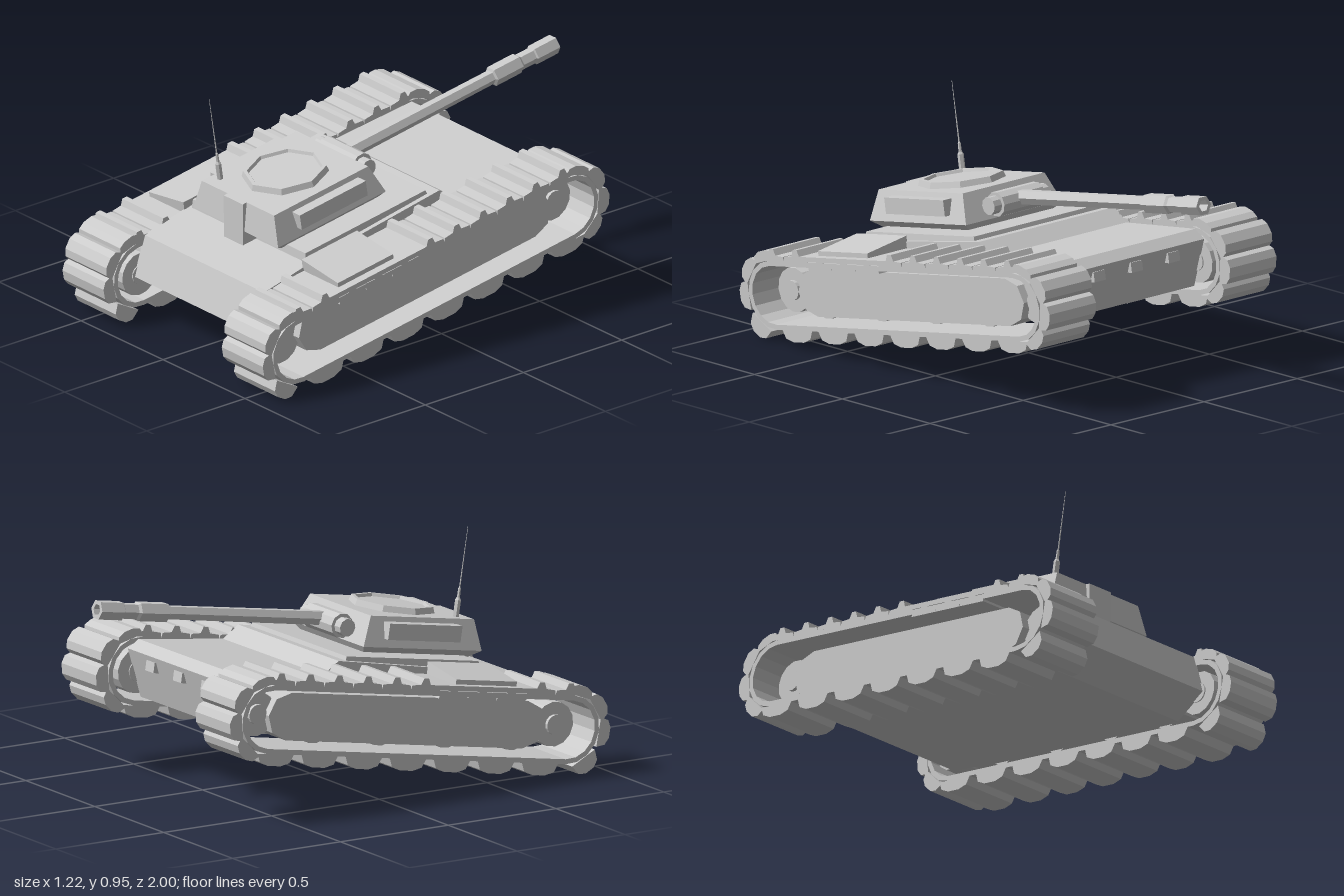
import * as THREE from 'three';

const mat = new THREE.MeshStandardMaterial({ color: 0xcccccc, flatShading: true, side: THREE.DoubleSide });

function add(parent, name, geo, x = 0, y = 0, z = 0) {
  const m = new THREE.Mesh(geo, mat);
  m.name = name;
  m.position.set(x, y, z);
  parent.add(m);
  return m;
}

// Side profile of [z, y] points extruded from x0 to x1, with an optional hole
function extrudeX(pts, x0, x1, hole) {
  const toV = ps => ps.map(([z, y]) => new THREE.Vector2(-z, y));
  const shape = new THREE.Shape(toV(pts));
  if (hole) shape.holes.push(new THREE.Path(toV(hole)));
  const g = new THREE.ExtrudeGeometry(shape, { depth: x1 - x0, bevelEnabled: false });
  return g.rotateY(Math.PI / 2).translate(x0, 0, 0);
}

// Tapered block between two rectangles given as [x, z0, z1, y], x being the half width
function block(b, t) {
  const g = new THREE.BoxGeometry(2, 1, 1);
  const p = g.attributes.position;
  for (let i = 0; i < p.count; i++) {
    const r = p.getY(i) > 0 ? t : b;
    p.setXYZ(i, p.getX(i) * r[0], r[3], p.getZ(i) > 0 ? r[2] : r[1]);
  }
  g.computeVertexNormals();
  return g;
}

// Turned part from [radius, height] points
function lathe(pts, sides, start = 0) {
  return new THREE.LatheGeometry(pts.map(q => new THREE.Vector2(...q)), sides, start);
}

const CY = 0.332, ZR = 0.768, ZF = -0.632; // axle height, rear and front axle

// Rounded loop around two axles
function loop(r, zr = ZR, zf = ZF, n = 8) {
  const pts = [];
  for (const [z, start] of [[zr, 0], [zf, Math.PI]])
    for (let i = 0; i <= n; i++) {
      const a = start + Math.PI * i / n;
      pts.push([z + r * Math.sin(a), CY + r * Math.cos(a)]);
    }
  return pts;
}

function wheel(parent, name, r, x, w, y, z) {
  add(parent, name, new THREE.CylinderGeometry(r, r, w, 14).rotateZ(Math.PI / 2), x, y, z);
}

function makeTrack(s) {
  const track = new THREE.Group();
  track.name = s > 0 ? 'leftTrack' : 'rightTrack';
  const R = 0.137;
  const span = (a, b) => s > 0 ? [a, b] : [-b, -a];
  const [a, b] = span(0.36, 0.61);
  add(track, 'trackBand', extrudeX(loop(R), a, b, loop(0.117)));

  // Scalloped pads on the lower run and around both ends
  const pad = extrudeX([[-0.085, 0], [0.085, 0], [0.07, 0.033], [0.03, 0.047], [-0.03, 0.047], [-0.07, 0.033]], a, b);
  const place = (z0, phi, len, high) => {
    const m = add(track, 'trackPad', pad, 0, CY + R * Math.cos(phi), z0 + R * Math.sin(phi));
    m.rotation.x = phi;
    m.scale.set(1, high, len);
  };
  for (let i = 0; i < 7; i++) place(ZF + 0.04 + i * 0.207, Math.PI, 1, 1);
  for (const [phi, high] of [[0.2, 0.9], [0.9, 1.1], [1.6, 1.1], [2.5, 1.3]]) place(ZR, phi, 0.7, high);
  for (const [phi, high] of [[0.4, 0.8], [1.1, 1.2], [1.8, 1.2], [2.5, 1.1]]) place(ZF, -phi, 0.7, high);

  // Upper run: plates with narrow raised cleats, sunk where the fender covers them
  const cleat = extrudeX([[-0.068, 0], [0.068, 0], [0.064, 0.018], [0.022, 0.022],
    [0.01, 0.048], [-0.012, 0.048], [-0.022, 0.022], [-0.064, 0.018]], a, b);
  for (let i = 0; i < 11; i++) {
    const z = ZF + 0.02 + i * 0.136;
    add(track, 'trackCleat', cleat, 0, CY + R - (z > 0.08 && z < 0.6 ? 0.03 : 0), z);
  }

  // Side panel, with wheels mostly hidden behind it
  add(track, 'sidePanel', extrudeX(loop(0.095, 0.61, -0.5, 4), ...span(0.36, 0.53)));
  for (let i = 0; i < 4; i++) wheel(track, 'roadWheel', 0.08, s * 0.45, 0.12, 0.305, -0.36 + i * 0.31);
  for (const z of [ZR, ZF]) {
    wheel(track, 'endWheel', 0.09, s * 0.43, 0.13, CY, z);
    wheel(track, 'wheelHub', 0.04, s * 0.435, 0.15, CY, z);
  }

  // Fender plate and stowage box sloping down to the outside
  add(track, 'fender', new THREE.BoxGeometry(0.25, 0.02, 0.52), s * 0.485, 0.481, 0.335);
  const box = extrudeX([[0.23, 0.47], [0.515, 0.47], [0.515, 0.54], [0.23, 0.54]], ...span(0.36, 0.575));
  const p = box.attributes.position;
  for (let i = 0; i < p.count; i++) if (p.getY(i) > 0.5 && Math.abs(p.getX(i)) > 0.5) p.setY(i, 0.51);
  add(track, 'stowageBox', box);
  return track;
}

function makeHull() {
  const hull = new THREE.Group();
  hull.name = 'hull';
  add(hull, 'hullBody', extrudeX([[0.67, 0.23], [0.797, 0.333], [0.721, 0.487], [0.48, 0.51],
    [-0.19, 0.53], [-0.255, 0.472], [-0.65, 0.46], [-0.69, 0.42], [-0.6, 0.23]], -0.365, 0.365));
  add(hull, 'upperDeck', block([0.348, -0.15, 0.49, 0.5], [0.342, -0.14, 0.48, 0.545]));
  for (const x of [-0.2, 0, 0.2]) add(hull, 'towLug', new THREE.BoxGeometry(0.06, 0.04, 0.05), x, 0.38, -0.662);
  return hull;
}

function makeTurret() {
  const turret = new THREE.Group();
  turret.name = 'turret';
  const tiers = [[0.22, 0.02, 0.5, 0.535], [0.258, -0.01, 0.545, 0.57], [0.22, 0.03, 0.515, 0.688]];
  for (let i = 0; i < 2; i++) add(turret, 'turretShell', block(tiers[i], tiers[i + 1]));
  for (const s of [-1, 1])
    add(turret, 'sideBox', new THREE.BoxGeometry(0.06, 0.065, 0.34), s * 0.243, 0.636, 0.26);
  add(turret, 'rearBox', extrudeX([[0.49, 0.515], [0.562, 0.515], [0.535, 0.688], [0.48, 0.688]], -0.063, 0.053));

  // Octagonal hatch with raised rim
  add(turret, 'hatch', lathe([[0.174, 0.685], [0.165, 0.712], [0.15, 0.712], [0.144, 0.7], [0, 0.7]], 8), 0, 0, 0.27);

  // Gun pivot
  for (const [r, w] of [[0.05, 0.22], [0.036, 0.3]])
    add(turret, 'gunPivot', new THREE.CylinderGeometry(r, r, w, 10).rotateZ(Math.PI / 2), -0.005, 0.625, -0.027);

  // Hexagonal barrel with sleeve and hollow muzzle
  const prof = [[0, 0], [0.031, 0], [0.029, 0.735], [0.041, 0.74], [0.041, 0.87], [0.033, 0.88],
    [0.033, 0.945], [0.04, 0.95], [0.04, 1.06], [0.024, 1.06], [0.022, 1.0], [0, 1.0]];
  add(turret, 'barrel', lathe(prof, 6, Math.PI / 6), -0.005, 0.635, -0.05).rotation.x = -Math.PI / 2;

  // Antenna on a thicker foot
  const mast = [[0, 0.67], [0.013, 0.67], [0.013, 0.755], [0.007, 0.765], [0.006, 0.8], [0.003, 0.805], [0.001, 1.047]];
  add(turret, 'antenna', lathe(mast, 6), -0.177, 0, 0.457);
  return turret;
}

export function createModel() {
  const model = new THREE.Group();
  model.name = 'tank';
  const body = new THREE.Group();
  body.name = 'tankBody';
  body.add(makeHull(), makeTurret(), makeTrack(1), makeTrack(-1));
  // The whole vehicle stands pitched upward with a trace of roll
  body.rotation.set(0.162, 0, -0.007);
  body.position.x = -0.004;
  model.add(body);
  return model;
}
